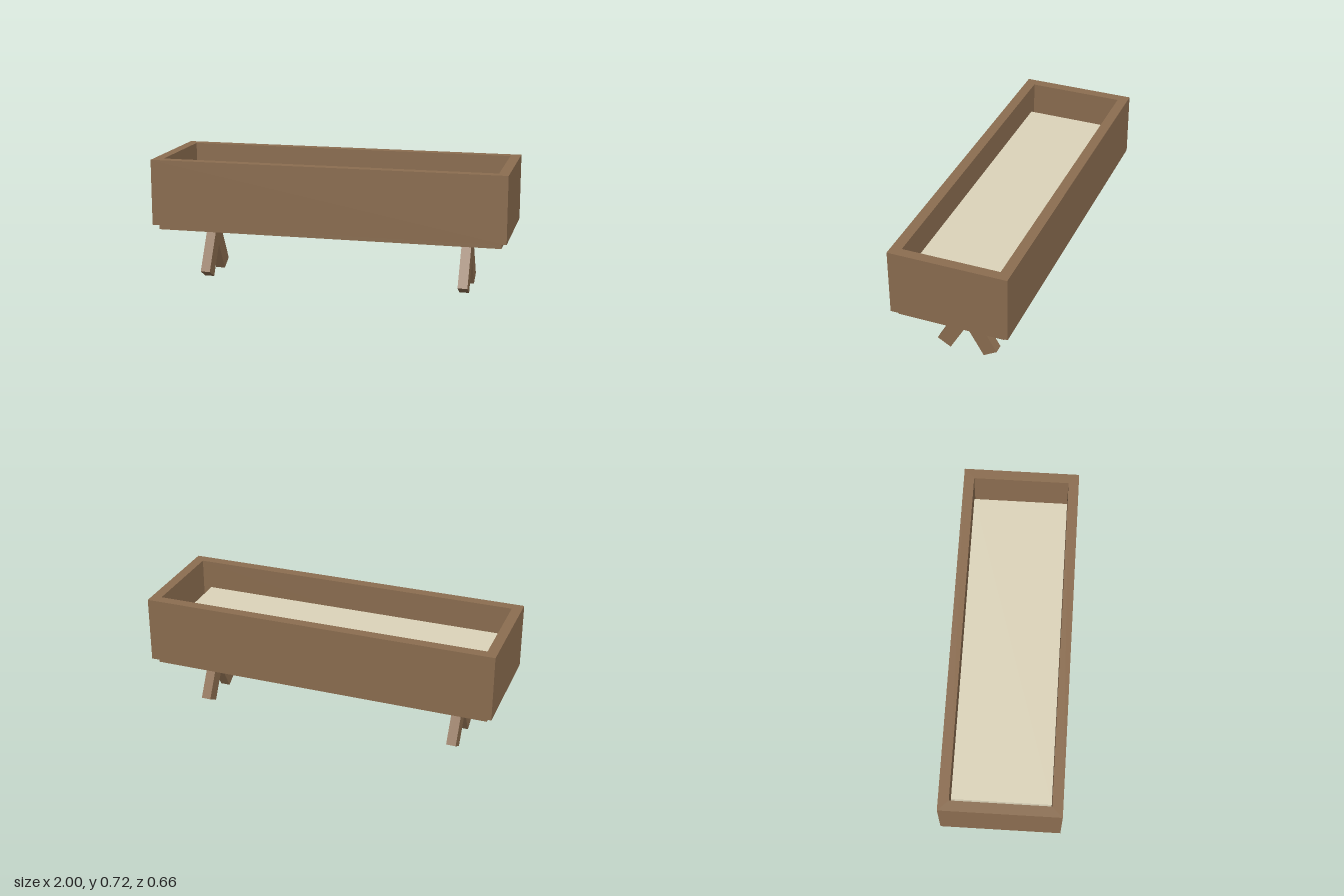
import * as THREE from 'three';

export function createModel() {
  const group = new THREE.Group();
  const wood = new THREE.MeshStandardMaterial({ color: 0x8b6d50 });
  wood.name = 'brown wood';
  const pale = new THREE.MeshStandardMaterial({ color: 0xdcd4ba });
  pale.name = 'pale fill';

  const add = (name, geometry, material, x, y, z) => {
    const mesh = new THREE.Mesh(geometry, material);
    mesh.name = name;
    mesh.position.set(x, y, z);
    group.add(mesh);
    return mesh;
  };
  const rect = (path, w, d) => path.moveTo(-w, -d).lineTo(w, -d).lineTo(w, d).lineTo(-w, d).closePath();

  // Trough walls: a rectangular frame extruded upwards
  const frame = rect(new THREE.Shape(), 1, 0.328);
  frame.holes.push(rect(new THREE.Path(), 0.943, 0.27));
  const walls = new THREE.ExtrudeGeometry(frame, { depth: 0.373, bevelEnabled: false });
  walls.rotateX(-Math.PI / 2);
  add('troughWalls', walls, wood, 0, 0.346, 0);

  // Floor board, showing a little below the walls
  add('floorBoard', new THREE.BoxGeometry(1.94, 0.06, 0.596), wood, 0, 0.345, 0);

  // Contents, stopping short of the end walls
  add('fill', new THREE.BoxGeometry(1.79, 0.18, 0.54), pale, 0, 0.463, 0);

  // Two pairs of crossed legs
  const tilt = Math.PI / 6, length = 0.366;
  for (const x of [-0.748, 0.748]) {
    for (const side of [-1, 1]) {
      const leg = add(side > 0 ? 'frontLeg' : 'backLeg', new THREE.BoxGeometry(0.055, length, 0.087), wood,
        x, 0.0235 + Math.cos(tilt) * length / 2, side * (0.135 - Math.sin(tilt) * length / 2));
      leg.rotation.x = -side * tilt;
    }
  }
  return group;
}
